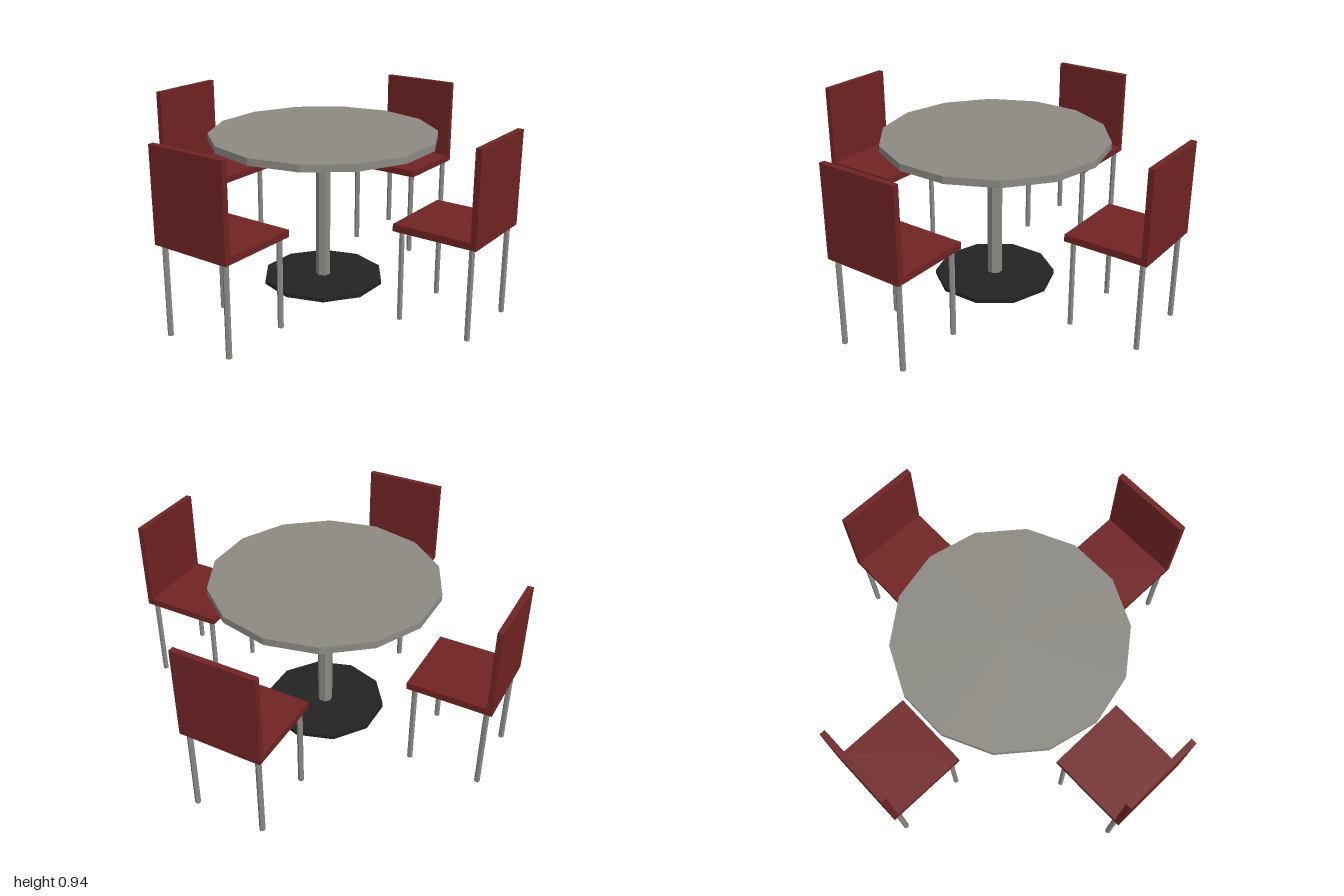
import * as THREE from 'three';

const mat = (name, color) => {
  const m = new THREE.MeshStandardMaterial({ color, flatShading: true });
  m.name = name;
  return m;
};

export function createModel() {
  const grey = mat('stoneGrey', 0x8c8a83);
  const red = mat('darkRed', 0x702323);
  const black = mat('charcoal', 0x232323);

  const add = (parent, name, geometry, material, x, y, z) => {
    const mesh = new THREE.Mesh(geometry, material);
    mesh.name = name;
    mesh.position.set(x, y, z);
    parent.add(mesh);
  };
  // Upright prism between two heights
  const prism = (parent, name, radius, sides, y0, y1, material, x = 0, z = 0) =>
    add(parent, name, new THREE.CylinderGeometry(radius, radius, y1 - y0, sides), material, x, (y0 + y1) / 2, z);

  const model = new THREE.Group();
  model.name = 'diningSet';

  // Pedestal table
  const table = new THREE.Group();
  table.name = 'table';
  prism(table, 'tableTop', 0.597, 14, 0.778, 0.815, grey);
  prism(table, 'pedestal', 0.04, 7, 0.02, 0.778, grey);
  prism(table, 'tableBase', 0.325, 10, 0, 0.022, black);
  model.add(table);

  // Four chairs around the table, each facing the middle
  for (let i = 0; i < 4; i++) {
    const chair = new THREE.Group();
    chair.name = 'chair' + (i + 1);
    add(chair, 'seat', new THREE.BoxGeometry(0.432, 0.036, 0.405), red, 0, 0.481, 0.7675);
    add(chair, 'backrest', new THREE.BoxGeometry(0.432, 0.474, 0.03), red, 0, 0.7, 0.985);
    for (const x of [-0.185, 0.185])
      for (const z of [0.599, 0.967]) prism(chair, 'leg', 0.0145, 6, 0, 0.463, grey, x, z);
    chair.rotation.y = (i * Math.PI) / 2;
    model.add(chair);
  }
  return model;
}
